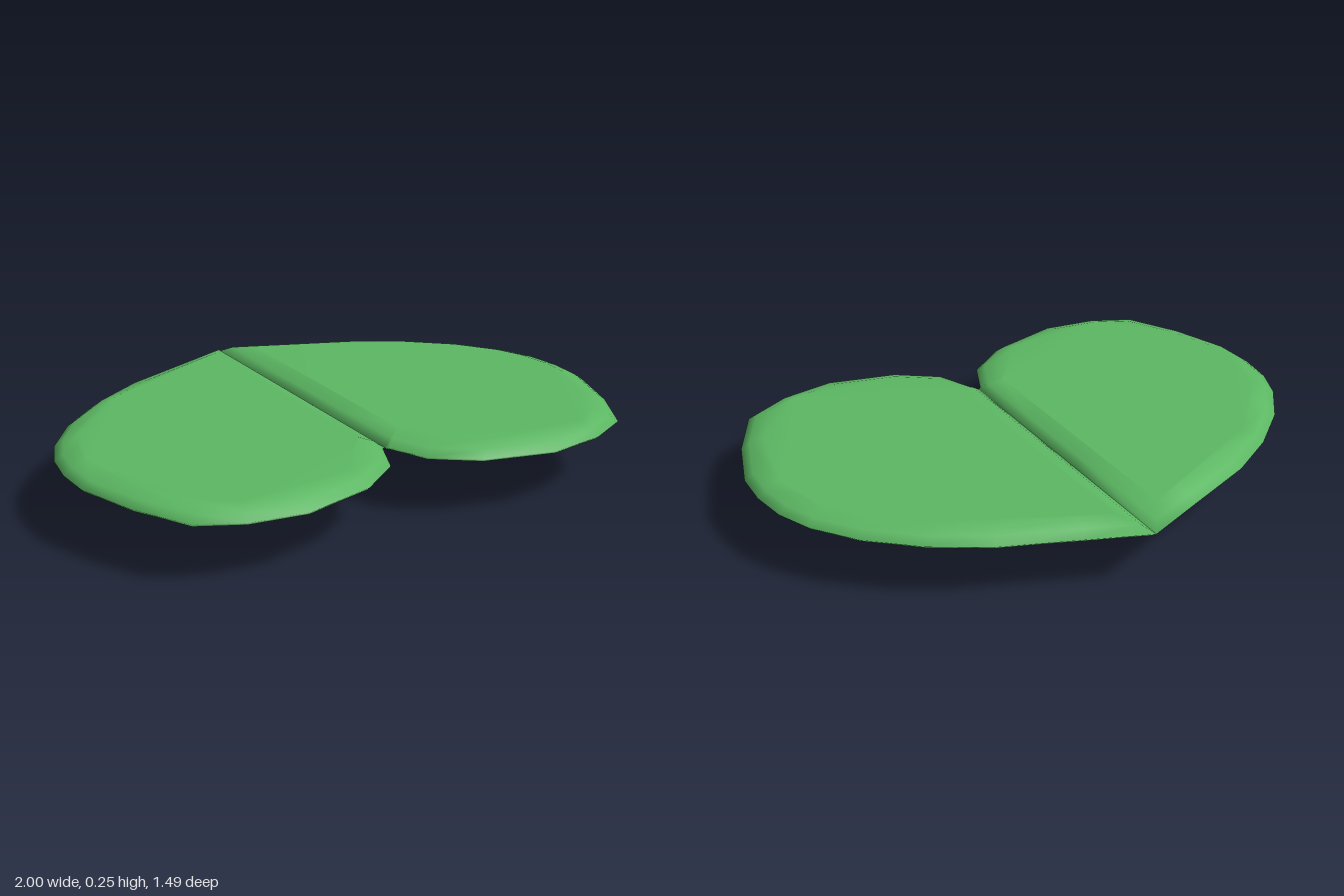
import * as THREE from 'three';

const green = new THREE.MeshStandardMaterial({ color: 0x5cb863 });
const red = new THREE.MeshStandardMaterial({ color: 0x9c4c4f });
const brown = new THREE.MeshStandardMaterial({ color: 0x6e5a3c });

// Outline of one lobe as [x, z]: tip, outer rim, notch, then back along the midrib
const outline = [
  [0, -0.745], [0.22, -0.655], [0.48, -0.55], [0.66, -0.44], [0.82, -0.30], [0.93, -0.15],
  [0.98, -0.03], [1, 0.10], [0.995, 0.23], [0.925, 0.44], [0.82, 0.635], [0.67, 0.71],
  [0.47, 0.74], [0.22, 0.675], [0.07, 0.565], [0.012, 0.43],
  [0, 0.42], [0, 0.1], [0, -0.25],
].map(([x, z]) => new THREE.Vector2(x, z));

// Rim cross-section from underside to top as [inset, y]
const rim = [[0.05, 0.198], [0.012, 0.203], [0, 0.215], [0.03, 0.237], [0.08, 0.254]];

// Move every outline point inward by a distance along its mitred normal
function inset(points, d) {
  const n = points.length;
  return points.map((p, i) => {
    const a = p.clone().sub(points[(i + n - 1) % n]).normalize();
    const b = points[(i + 1) % n].clone().sub(p).normalize();
    const na = new THREE.Vector2(-a.y, a.x);
    const nb = new THREE.Vector2(-b.y, b.x);
    const m = na.add(nb).normalize();
    return p.clone().addScaledVector(m, d / Math.max(0.5, m.dot(nb)));
  });
}

// Closed pillow-like lobe; side is 1 or -1
function lobeGeometry(side) {
  const n = outline.length;
  const pos = [];
  const index = [];
  const tri = (a, b, c) => (side > 0 ? index.push(a, b, c) : index.push(a, c, b));
  const rings = rim.map(([d]) => inset(outline, d));
  rings.forEach((ring, k) => ring.forEach((p) => pos.push(side * p.x, rim[k][1], p.y)));
  for (let k = 0; k < rim.length - 1; k++) {
    for (let i = 0; i < n; i++) {
      const j = (i + 1) % n;
      const a = k * n + i, b = k * n + j;
      tri(a, a + n, b);
      tri(b, a + n, b + n);
    }
  }
  // Flat top and underside
  const cap = (k, up) => {
    for (const [a, b, c] of THREE.ShapeUtils.triangulateShape(rings[k], [])) {
      const ring = rings[k];
      const area = (ring[b].x - ring[a].x) * (ring[c].y - ring[a].y)
        - (ring[b].y - ring[a].y) * (ring[c].x - ring[a].x);
      const o = k * n;
      if ((area < 0) === up) tri(o + a, o + b, o + c);
      else tri(o + a, o + c, o + b);
    }
  };
  cap(0, false);
  cap(rim.length - 1, true);
  const g = new THREE.BufferGeometry();
  g.setAttribute('position', new THREE.Float32BufferAttribute(pos, 3));
  g.setIndex(index);
  g.computeVertexNormals();
  return g;
}

// Cone or tapered cylinder between two points, kept level at its ends
function slanted(top, bottom, rTop, rBottom, sides, tilt = 0) {
  const g = new THREE.CylinderGeometry(rTop, rBottom, 1, sides);
  const p = g.attributes.position;
  for (let i = 0; i < p.count; i++) {
    const t = 0.5 - p.getY(i);
    const z = p.getZ(i);
    p.setXYZ(i,
      p.getX(i) + THREE.MathUtils.lerp(top[0], bottom[0], t),
      THREE.MathUtils.lerp(top[1], bottom[1], t) + t * z * tilt,
      z + THREE.MathUtils.lerp(top[2], bottom[2], t));
  }
  g.computeVertexNormals();
  return g;
}

export function createModel() {
  const group = new THREE.Group();
  const add = (name, geometry, material) => {
    const mesh = new THREE.Mesh(geometry, material);
    mesh.name = name;
    group.add(mesh);
  };

  // Heart-shaped leaf
  add('leftLobe', lobeGeometry(1), green);
  add('rightLobe', lobeGeometry(-1), green);

  // Slanted stem below the midrib
  add('stem', slanted([0, 0.21, -0.098], [-0.006, 0.075, -0.015], 0.093, 0.077, 10, 0.07), red);

  // Root spikes
  add('mainRoot', slanted([0, 0.085, -0.002], [0, 0, 0.028], 0.026, 0.002, 6), brown);
  add('sideRoot', slanted([-0.042, 0.085, 0], [-0.043, 0.045, 0.012], 0.016, 0.003, 5), brown);
  add('backRoot', slanted([0.012, 0.085, -0.03], [0.015, 0.045, -0.03], 0.016, 0.003, 5), brown);
  return group;
}
